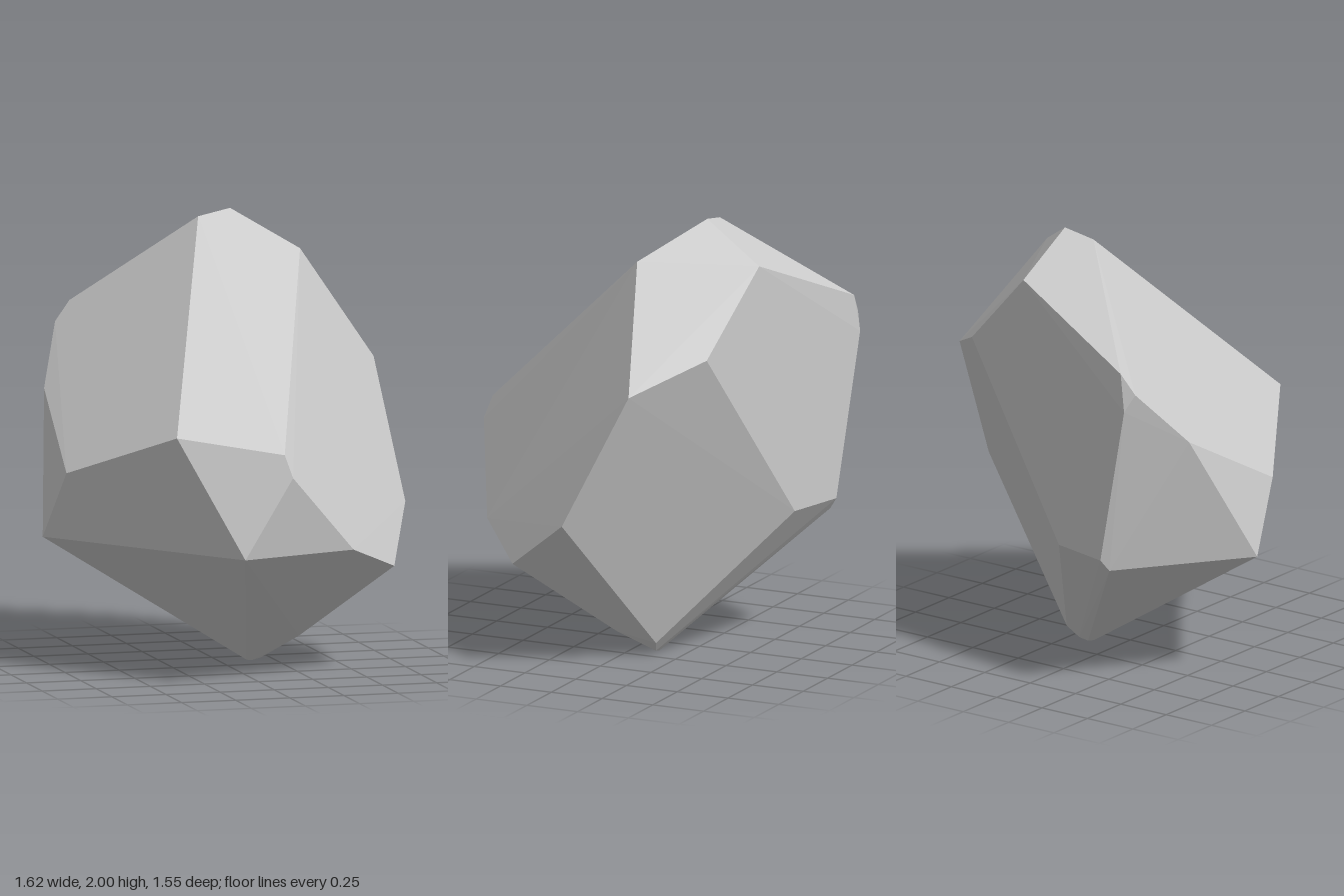
import * as THREE from 'three';
import { ConvexGeometry } from 'three/addons/geometries/ConvexGeometry.js';

// Corners of the faceted boulder, grouped by region
const corners = [
  // crown
  [-0.04, 1.97, -0.33], [0.11, 2.0, -0.34], [0.37, 1.84, -0.12], [0.14, 1.82, -0.61],
  // front
  [-0.4, 1.12, 0.58], [0.05, 1.05, 0.745], [0.08, 0.95, 0.775], [-0.14, 0.59, 0.775], [0.41, 0.59, 0.6],
  // left side (+x)
  [0.67, 0.47, 0.35], [0.81, 0.71, 0.04], [0.75, 1.32, -0.26],
  // back
  [0.49, 1.46, -0.52], [-0.51, 1.55, -0.765], [-0.58, 1.46, -0.75], [-0.54, 1.38, -0.78],
  [-0.1, 0.645, -0.67], [-0.38, 0.645, -0.74], [-0.4, 0.59, -0.7],
  // right side (-x)
  [-0.7, 1.2, -0.51], [-0.81, 0.59, -0.15], [-0.755, 0.9, 0.04],
  // blunt foot
  [0.12, 0.005, -0.11], [0.145, 0, -0.12], [0.19, 0.01, -0.125], [0.24, 0.06, -0.15], [0.33, 0.12, 0],
];

export function createModel() {
  const group = new THREE.Group();
  group.name = 'boulder';

  // Faceted stone wrapped tightly around the corners
  const points = corners.map(([x, y, z]) => new THREE.Vector3(x, y, z));
  const stone = new THREE.Mesh(
    new ConvexGeometry(points),
    new THREE.MeshStandardMaterial({ color: 0xcccccc, flatShading: true })
  );
  stone.name = 'stone';
  group.add(stone);
  return group;
}
